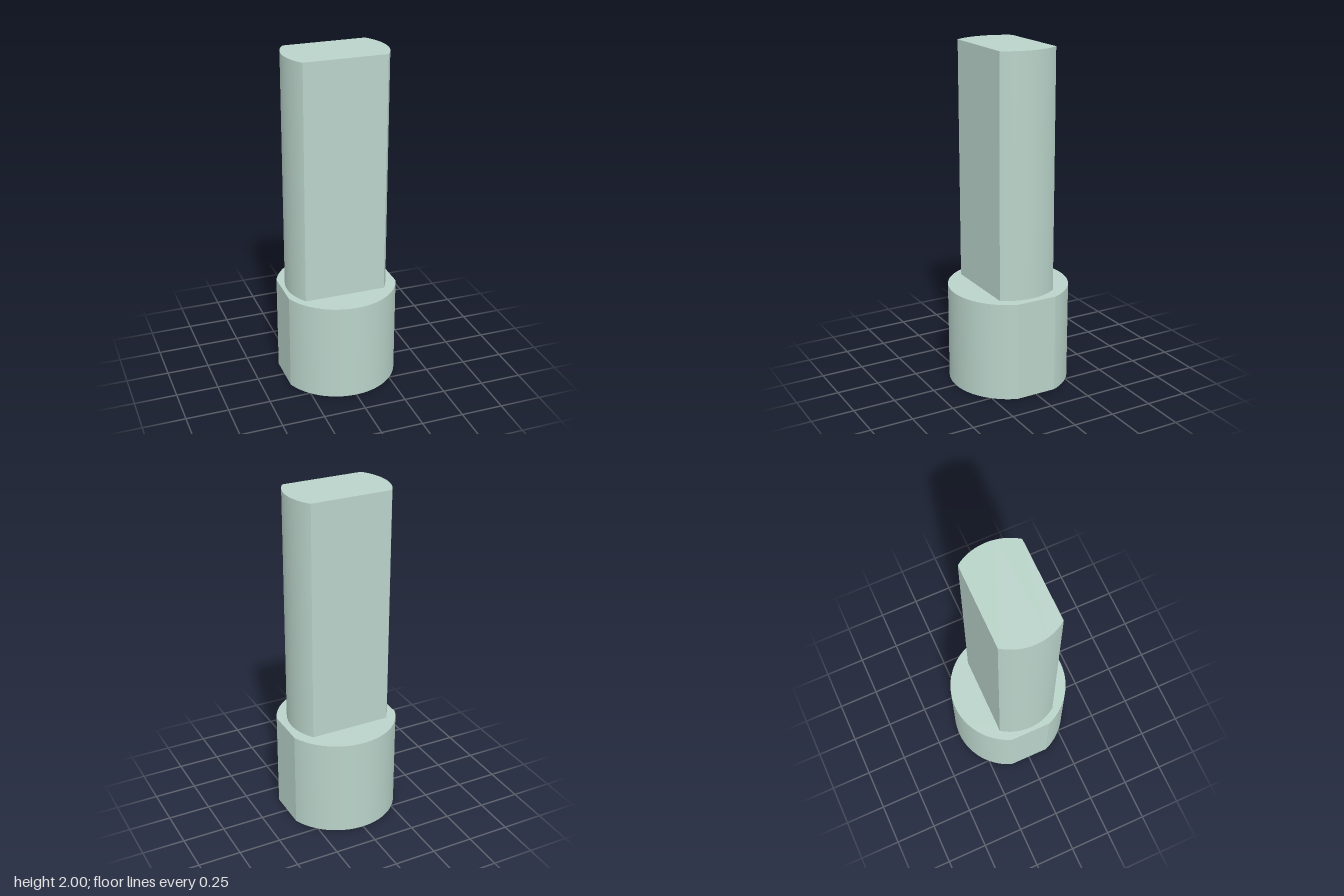
import * as THREE from 'three';
import { toCreasedNormals } from 'three/addons/utils/BufferGeometryUtils.js';

// Upright round bar with two opposite flats at x = +-flat
function flattedBar(name, radius, flat, height, material) {
  const a = Math.acos(flat / radius);
  const shape = new THREE.Shape();
  shape.absarc(0, 0, radius, a, Math.PI - a, false);
  shape.absarc(0, 0, radius, Math.PI + a, 2 * Math.PI - a, false);
  shape.closePath();
  const extruded = new THREE.ExtrudeGeometry(shape, { depth: height, bevelEnabled: false, curveSegments: 48 });
  extruded.rotateX(-Math.PI / 2);
  const mesh = new THREE.Mesh(toCreasedNormals(extruded, 0.25), material);
  mesh.name = name;
  return mesh;
}

export function createModel() {
  const group = new THREE.Group();
  group.name = 'flattedPin';
  const material = new THREE.MeshStandardMaterial({ color: 0xb9d3c9 });
  const baseHeight = 0.587;

  // Wide collar with narrow flats on its left and right
  const base = flattedBar('base', 0.355, 0.333, baseHeight, material);

  // Tall shaft, slightly off centre, with broad flats at front and back
  const shaft = flattedBar('shaft', 0.299, 0.176, 2 - baseHeight, material);
  shaft.rotation.y = Math.PI / 2;
  shaft.position.set(-0.009, baseHeight, 0.008);

  group.add(base, shaft);
  return group;
}
